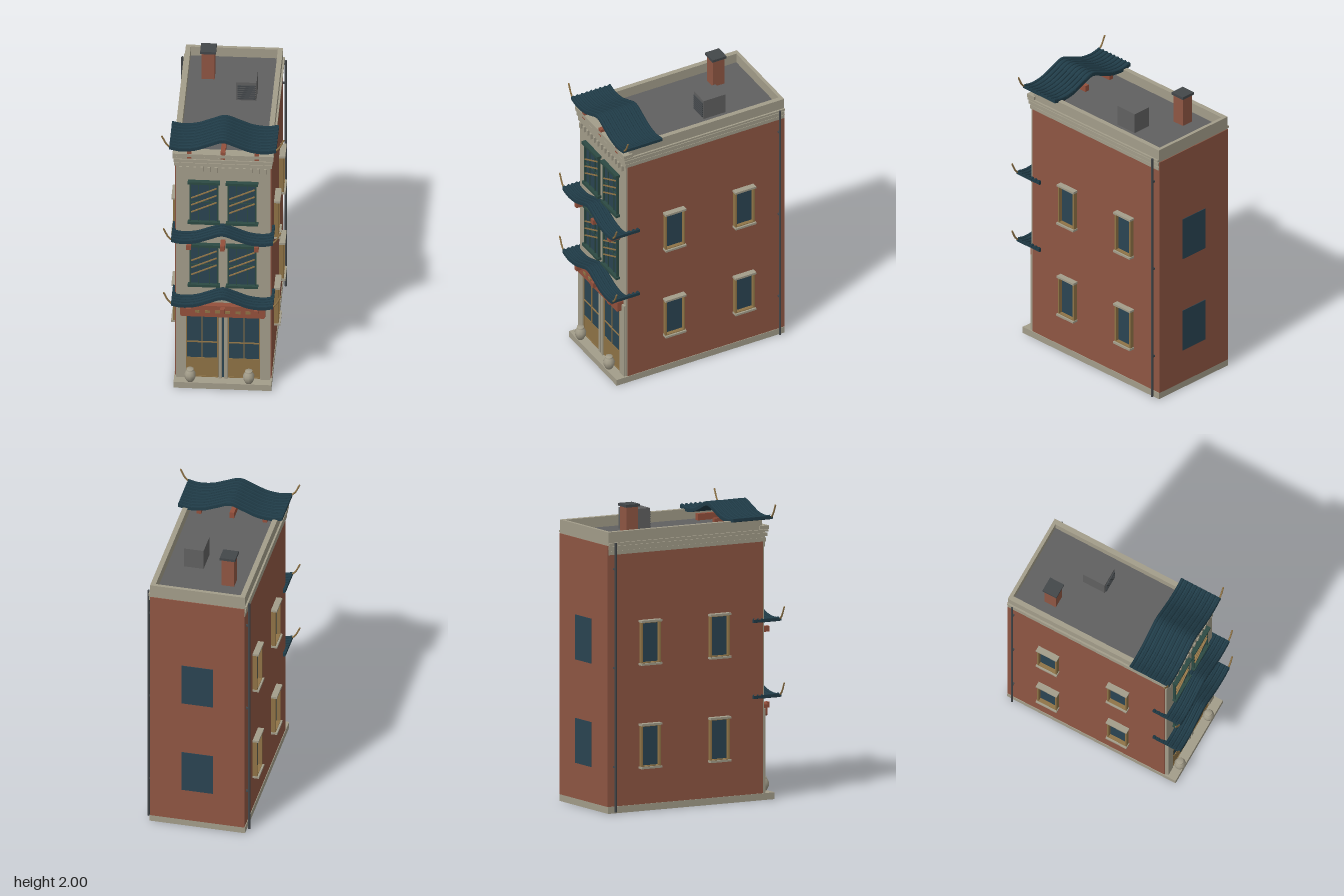
import * as THREE from 'three';

const mat = (name, color) => {
  const m = new THREE.MeshStandardMaterial({ color });
  m.name = name;
  return m;
};

export function createModel() {
  const brick = mat('brick', 0x8f5643), stone = mat('stone', 0xa39d8a), wood = mat('tan wood', 0x8f7346),
    glass = mat('dark glass', 0x2a4452), tile = mat('roof tile', 0x203c48), green = mat('green trim', 0x2c4a43),
    grey = mat('roof grey', 0x606060), dark = mat('dark metal', 0x43474a), red = mat('red timber', 0x94503c);

  const model = new THREE.Group();
  const add = (parent, name, geo, material, x = 0, y = 0, z = 0) => {
    const m = new THREE.Mesh(geo, material);
    m.name = name;
    m.position.set(x, y, z);
    parent.add(m);
    return m;
  };
  // box given by its lower and upper limits on each axis
  const box = (parent, name, material, x0, x1, y0, y1, z0, z1) =>
    add(parent, name, new THREE.BoxGeometry(x1 - x0, y1 - y0, z1 - z0), material,
      (x0 + x1) / 2, (y0 + y1) / 2, (z0 + z1) / 2);
  const group = (name, parent = model) => {
    const g = new THREE.Group();
    g.name = name;
    parent.add(g);
    return g;
  };
  // rectangular ring in the xy plane, extruded towards +z
  const ring = (w, h, t, depth) => {
    const rect = (P, a, b) => new P([[-a, -b], [a, -b], [a, b], [-a, b]].map(p => new THREE.Vector2(...p)));
    const s = rect(THREE.Shape, w / 2, h / 2);
    s.holes.push(rect(THREE.Path, w / 2 - t, h / 2 - t));
    return new THREE.ExtrudeGeometry(s, { depth, bevelEnabled: false });
  };

  // Main body
  box(model, 'base', stone, -0.318, 0.318, 0, 0.045, -0.643, 0.605);
  box(model, 'brickWalls', brick, -0.314, 0.314, 0.045, 1.76, -0.645, 0.52);
  box(model, 'facade', stone, -0.308, 0.308, 0.045, 1.71, 0.52, 0.532);
  box(model, 'roofDeck', grey, -0.3, 0.3, 1.76, 1.782, -0.63, 0.52);

  // Cornice, dentils and parapet
  const cornice = group('cornice');
  [[1.70, 1.725, 0.318, 0.54], [1.725, 1.735, 0.315, 0.535], [1.735, 1.757, 0.323, 0.547],
    [1.757, 1.765, 0.315, 0.535], [1.765, 1.779, 0.328, 0.552]].forEach(([y0, y1, w, z]) =>
    box(cornice, 'corniceBand', stone, -w, w, y0, y1, -0.64, z));
  box(cornice, 'corniceCap', stone, -0.328, 0.328, 1.782, 1.805, 0.49, 0.556);
  for (let i = 0; i < 13; i++) {
    const x = -0.276 + i * 0.046;
    box(cornice, 'dentil', stone, x - 0.009, x + 0.009, 1.66, 1.70, 0.53, 0.55);
  }
  for (const s of [-1, 1])
    box(model, 'sideParapet', stone, Math.min(s * 0.283, s * 0.316), Math.max(s * 0.283, s * 0.316), 1.765, 1.85, -0.64, 0.51);
  box(model, 'backParapet', stone, -0.283, 0.283, 1.765, 1.85, -0.64, -0.617);

  // Side windows
  for (const s of [-1, 1]) for (const z of [-0.335, 0.183]) for (const y of [0.28, 0.96]) {
    const w = group('sideWindow');
    w.position.set(s * 0.314, y, z);
    w.rotation.y = s * Math.PI / 2;
    box(w, 'pane', glass, -0.07, 0.07, 0.01, 0.285, 0, 0.004);
    add(w, 'frame', ring(0.145, 0.28, 0.011, 0.03), wood, 0, 0.148, 0);
    box(w, 'sill', stone, -0.077, 0.077, 0, 0.014, 0, 0.042);
    box(w, 'lintel', stone, -0.077, 0.077, 0.282, 0.296, 0, 0.04);
  }

  // Back windows
  for (const y of [0.28, 0.96]) {
    box(model, 'backWindow', glass, -0.105, 0.105, y, y + 0.295, -0.649, -0.644);
  }

  // Front windows with slanted slats
  for (const s of [-1, 1]) for (const y of [0.77, 1.262]) {
    const w = group('frontWindow');
    w.position.set(s * 0.124, y, 0.532);
    box(w, 'pane', glass, -0.09, 0.09, 0.01, 0.315, 0, 0.004);
    add(w, 'frame', ring(0.19, 0.315, 0.01, 0.018), green, 0, 0.16, 0);
    for (const x of [-0.035, 0.035]) box(w, 'mullion', green, x - 0.003, x + 0.003, 0.01, 0.31, 0.003, 0.012);
    box(w, 'crossbar', green, -0.09, 0.09, 0.157, 0.163, 0.003, 0.011);
    box(w, 'sill', green, -0.105, 0.105, -0.004, 0.014, 0, 0.028);
    box(w, 'lintel', green, -0.105, 0.105, 0.31, 0.328, 0, 0.032);
    for (const h of [0.125, 0.18, 0.235]) {
      const slat = box(w, 'slat', wood, -0.092, 0.092, -0.0035, 0.0035, 0.012, 0.021);
      slat.position.y = h;
      slat.rotation.z = 0.45;
    }
  }

  // Shopfront: two glazed doors between stone posts
  for (const s of [-1, 1]) {
    const d = group('door');
    d.position.set(s * 0.136, 0.05, 0.532);
    box(d, 'doorGlass', glass, -0.1, 0.1, 0.14, 0.5, 0, 0.004);
    box(d, 'doorPanel', wood, -0.1, 0.1, 0.005, 0.15, 0, 0.007);
    add(d, 'doorFrame', ring(0.21, 0.5, 0.007, 0.01), wood, 0, 0.25, 0);
    box(d, 'doorRail', wood, -0.1, 0.1, 0.27, 0.278, 0.003, 0.01);
    box(d, 'doorMullion', wood, -0.003, 0.003, 0.15, 0.5, 0.003, 0.01);
    box(model, 'cornerPost', stone, s * 0.275 - 0.03, s * 0.275 + 0.03, 0.045, 0.6, 0.525, 0.545);
    box(model, 'centrePost', stone, s * 0.018 - 0.01, s * 0.018 + 0.01, 0.045, 0.56, 0.525, 0.548);
  }
  box(model, 'centreGap', glass, -0.008, 0.008, 0.05, 0.55, 0.53, 0.536);

  // Rounded sign board with plain studs
  const b = new THREE.Shape(), bw = 0.277, bh = 0.043, r = 0.014;
  b.absarc(bw - r, bh - r, r, 0, Math.PI / 2);
  b.absarc(-bw + r, bh - r, r, Math.PI / 2, Math.PI);
  b.absarc(-bw + r, -bh + r, r, Math.PI, Math.PI * 1.5);
  b.absarc(bw - r, -bh + r, r, Math.PI * 1.5, Math.PI * 2);
  add(model, 'board', new THREE.ExtrudeGeometry(b, { depth: 0.043, bevelEnabled: false, curveSegments: 4 }), red, 0, 0.588, 0.532);
  for (let i = 0; i < 6; i++) {
    const x = -0.165 + i * 0.066;
    box(model, 'boardStud', wood, x - 0.016, x + 0.016, 0.577, 0.597, 0.574, 0.579);
  }

  // Projecting beams under each canopy
  for (const x of [-0.22, 0, 0.22]) {
    box(model, 'beam', red, x - 0.015, x + 0.015, 0.59, 0.628, 0.53, 0.613);
    box(model, 'beam', red, x - 0.015, x + 0.015, 1.09, 1.127, 0.53, 0.613);
    box(model, 'roofBeam', red, x - 0.015, x + 0.015, 1.77, 1.825, 0.33, 0.554);
  }

  // Swept canopies: curved sheet, tile ribs and upturned horns
  const canopy = (half, peak, drop, z0, z1) => {
    const g = group('canopy');
    const side = [[1, 0.82], [0.8, 1], [0.52, 0.87], [0.25, 0.4]];
    const pts = [...side.map(([u, d]) => [-u, d]), [0, 0], ...side.slice().reverse()]
      .map(([u, d]) => new THREE.Vector3(u * half, peak - d * drop, 0));
    const curve = new THREE.CatmullRomCurve3(pts);
    const line = curve.getPoints(32);
    const s = new THREE.Shape([
      ...line.map(p => new THREE.Vector2(p.x, p.y - 0.02)),
      ...line.slice().reverse().map(p => new THREE.Vector2(p.x, p.y))]);
    add(g, 'canopySheet', new THREE.ExtrudeGeometry(s, { depth: z1 - z0, bevelEnabled: false }), tile, 0, 0, z0);
    const n = Math.round((z1 - z0) / 0.032);
    const rib = new THREE.TubeGeometry(curve, 32, 0.01, 6);
    for (let i = 0; i < n; i++)
      add(g, 'tileRib', rib, tile, 0, 0, z0 + 0.011 + (z1 - z0 - 0.022) * i / (n - 1));
    for (const k of [-1, 1]) {
      const y = peak - drop * 0.82;
      const horn = new THREE.CatmullRomCurve3([[half - 0.01, y - 0.012], [half + 0.018, y + 0.015], [half + 0.048, y + 0.075]]
        .map(([x, h]) => new THREE.Vector3(k * x, h, z1 - 0.008)));
      add(g, 'horn', new THREE.TubeGeometry(horn, 6, 0.006, 6), wood);
      const end = horn.getPoint(1);
      add(g, 'hornTip', new THREE.SphereGeometry(0.006, 6, 4), wood, end.x, end.y, end.z);
    }
  };
  canopy(0.332, 0.75, 0.07, 0.44, 0.648);
  canopy(0.332, 1.25, 0.07, 0.44, 0.648);
  canopy(0.348, 1.932, 0.076, 0.28, 0.573);

  // Downpipes
  for (const s of [-1, 1]) {
    add(model, 'downpipe', new THREE.CylinderGeometry(0.008, 0.008, 1.77, 8), dark, s * 0.336, 0.895, -0.598);
    for (const y of [0.3, 0.95, 1.6]) box(model, 'pipeBracket', dark, s * 0.325 - 0.013, s * 0.325 + 0.013, y, y + 0.012, -0.604, -0.592);
  }

  // Chimney
  box(model, 'chimney', brick, -0.196, -0.111, 1.77, 1.985, -0.435, -0.35);
  box(model, 'chimneyCap', dark, -0.205, -0.102, 1.982, 2, -0.444, -0.341);

  // Rooftop ventilation unit
  box(model, 'ventUnit', grey, 0.044, 0.176, 1.78, 1.922, -0.28, -0.12);
  for (let i = 0; i < 7; i++) {
    const y = 1.795 + i * 0.016;
    box(model, 'louvre', dark, 0.052, 0.168, y, y + 0.009, -0.121, -0.112);
  }

  // Stone jars
  const profile = [[0, 0], [0.022, 0], [0.036, 0.028], [0.038, 0.055], [0.026, 0.078], [0.02, 0.082], [0.024, 0.092], [0, 0.092]]
    .map(p => new THREE.Vector2(...p));
  for (const x of [-0.212, 0.17])
    add(model, 'jar', new THREE.LatheGeometry(profile, 10), stone, x, 0.045, 0.58);

  return model;
}
